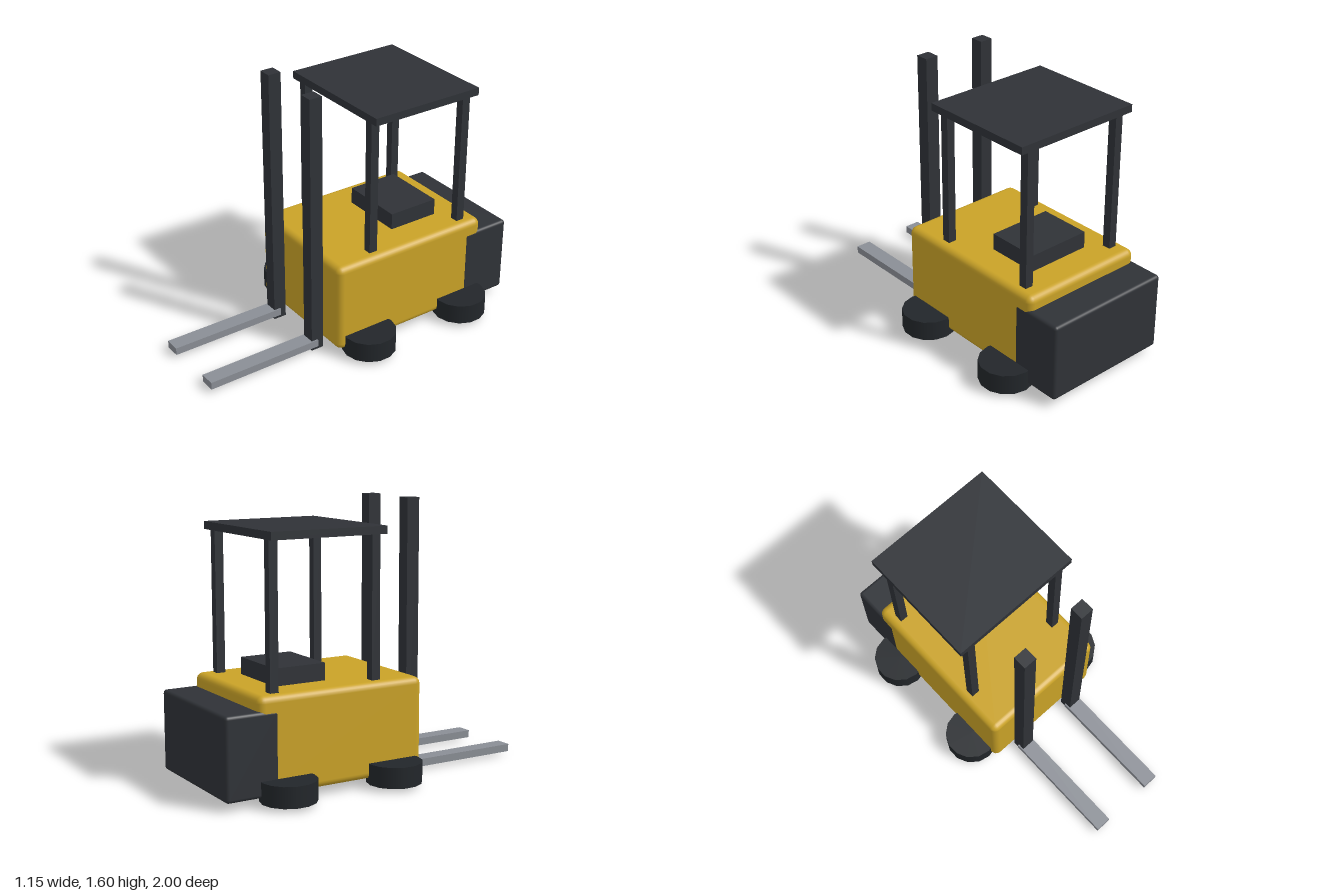
import * as THREE from 'three';
import { RoundedBoxGeometry } from 'three/addons/geometries/RoundedBoxGeometry.js';

export function createModel() {
  const model = new THREE.Group();
  model.name = 'forklift';

  const yellow = new THREE.MeshStandardMaterial({ color: 0xc9a227 });
  const dark = new THREE.MeshStandardMaterial({ color: 0x2f3237 });
  const rubber = new THREE.MeshStandardMaterial({ color: 0x22262a });
  const steel = new THREE.MeshStandardMaterial({ color: 0x8a8e95 });

  function add(name, geometry, material, x, y, z) {
    const mesh = new THREE.Mesh(geometry, material);
    mesh.name = name;
    mesh.position.set(x, y, z);
    model.add(mesh);
    return mesh;
  }
  const box = (w, h, d) => new THREE.BoxGeometry(w, h, d);

  // Body and rear counterweight (a hair wider, so the shared sides do not flicker)
  add('body', new RoundedBoxGeometry(0.8, 0.55, 1.04, 3, 0.04), yellow, 0, 0.325, -0.28);
  add('counterweight', new RoundedBoxGeometry(0.802, 0.47, 0.32, 3, 0.02), dark, 0, 0.285, -0.84);

  // Seat and overhead guard roof
  add('seat', box(0.4, 0.12, 0.32), dark, 0, 0.64, -0.44);
  add('roof', box(0.8, 0.045, 0.72), dark, 0, 1.4425, -0.36);

  for (const [label, side] of [['left', 1], ['right', -1]]) {
    // Mast rail and fork
    add(label + 'MastRail', box(0.08, 1.6, 0.08), dark, side * 0.2, 0.8, 0.28);
    add(label + 'Fork', box(0.095, 0.045, 0.72), steel, side * 0.2, 0.0425, 0.64);

    // Roof posts
    for (const [end, z] of [['Front', -0.037], ['Rear', -0.68]]) {
      add(label + end + 'Post', box(0.05, 0.84, 0.052), dark, side * 0.32, 1.005, z);
    }
    // Wheels lie flat, with upright axes
    for (const [end, z] of [['Front', 0.04], ['Rear', -0.64]]) {
      add(label + end + 'Wheel', new THREE.CylinderGeometry(0.16, 0.16, 0.12, 14), rubber, side * 0.42, 0.083, z);
    }
  }
  return model;
}
